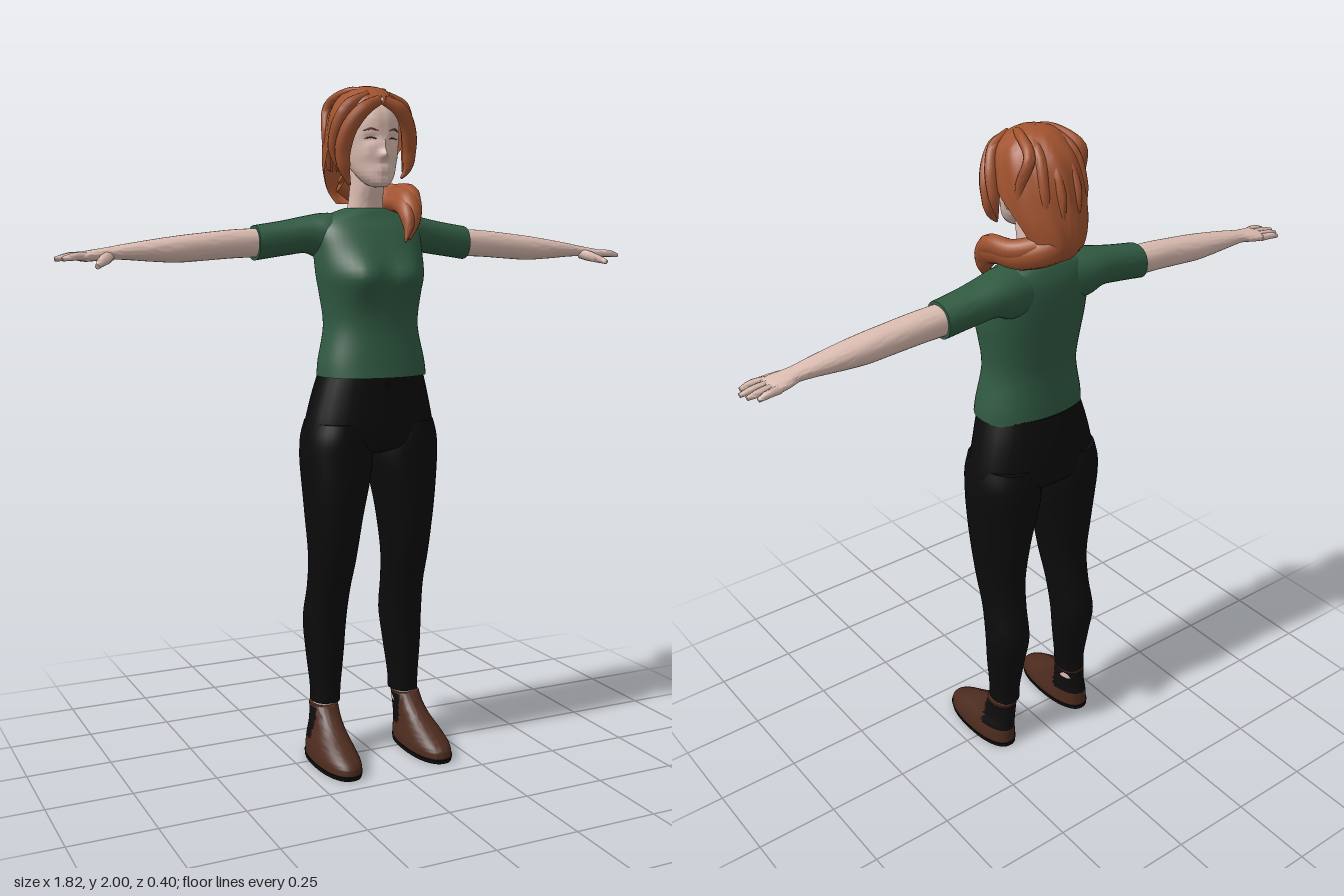
import * as THREE from 'three';
import { toCreasedNormals } from 'three/addons/utils/BufferGeometryUtils.js';

const V = (x, y, z) => new THREE.Vector3(x, y, z);
const paint = (name, color, double) => {
  const m = new THREE.MeshStandardMaterial({ color });
  m.name = name;
  if (double) m.side = THREE.DoubleSide;
  return m;
};

// Smooth extra rows between the given ones (Catmull-Rom on every column)
function smooth(rows, steps) {
  const out = [], at = (i) => rows[Math.min(Math.max(i, 0), rows.length - 1)];
  for (let i = 0; i < rows.length - 1; i++) {
    for (let k = 0; k < steps; k++) {
      const t = k / steps;
      out.push(rows[i].map((b, c) => {
        const a = at(i - 1)[c], d = at(i + 1)[c], e = at(i + 2)[c];
        return b + 0.5 * t * (d - a + t * (2 * a - 5 * b + 4 * d - e + t * (3 * (b - d) + e - a)));
      }));
    }
  }
  out.push(rows[rows.length - 1]);
  return out;
}

// Skin over rings of points; closed skins get end caps and outward faces
function skin(rings, closed = true, crease = 0.9) {
  const n = rings[0].length, pts = rings.flat(), idx = [], last = (rings.length - 1) * n;
  for (let i = 0; i < rings.length - 1; i++) {
    for (let j = 0; j < (closed ? n : n - 1); j++) {
      const a = i * n + j, b = i * n + (j + 1) % n;
      idx.push(a, b, b + n, a, b + n, a + n);
    }
  }
  if (closed) {
    const mid = (r) => r.reduce((s, p) => s.add(p), V(0, 0, 0)).divideScalar(n);
    const c0 = pts.push(mid(rings[0])) - 1, c1 = pts.push(mid(rings[rings.length - 1])) - 1;
    for (let j = 0; j < n; j++) {
      const k = (j + 1) % n;
      idx.push(c0, k, j, c1, last + j, last + k);
    }
    let vol = 0;
    for (let i = 0; i < idx.length; i += 3) {
      vol += pts[idx[i]].dot(pts[idx[i + 1]].clone().cross(pts[idx[i + 2]]));
    }
    if (vol < 0) idx.reverse();
  }
  const g = new THREE.BufferGeometry().setFromPoints(pts);
  g.setIndex(idx);
  return toCreasedNormals(g, crease);
}

// Rows [t, aMin, aMax, bMin, bMax] become rounded cross-sections placed by a rule
function loft(rows, place, steps = 4, n = 32, e = 0.88) {
  const pw = (v) => Math.sign(v) * Math.abs(v) ** e;
  return skin(smooth(rows, steps).map(([t, a0, a1, b0, b1]) => Array.from({ length: n }, (_, j) => {
    const q = (j / n) * Math.PI * 2;
    return place(t, (a0 + a1) / 2 + (a1 - a0) / 2 * pw(Math.sin(q)), (b0 + b1) / 2 + (b1 - b0) / 2 * pw(Math.cos(q)));
  })));
}

// Tapered strand along a path; radii are spread evenly over it
function strand(path, radii, flat = 1, n = 10, steps = 24) {
  const curve = new THREE.CatmullRomCurve3(path), f = curve.computeFrenetFrames(steps);
  return skin(Array.from({ length: steps + 1 }, (_, i) => {
    const u = i / steps * (radii.length - 1), k = Math.min(Math.floor(u), radii.length - 2);
    const r = radii[k] + (radii[k + 1] - radii[k]) * (u - k), c = curve.getPointAt(i / steps);
    return Array.from({ length: n }, (_, j) => {
      const q = j / n * Math.PI * 2;
      return c.clone().addScaledVector(f.normals[i], Math.cos(q) * r * flat).addScaledVector(f.binormals[i], Math.sin(q) * r);
    });
  }));
}

// Keep only the triangles whose centre passes a test
function pick(geo, test) {
  const p = geo.attributes.position, keep = [];
  for (let i = 0; i < p.count; i += 3) {
    const c = V(0, 0, 0);
    for (let k = 0; k < 3; k++) c.add(V(p.getX(i + k), p.getY(i + k), p.getZ(i + k)).divideScalar(3));
    if (test(c)) keep.push(i, i + 1, i + 2);
  }
  const g = geo.clone();
  g.setIndex(keep);
  return g.toNonIndexed();
}

export function createModel() {
  const model = new THREE.Group();
  const skinTone = paint('skin', 0xdbbcb1), hair = paint('hair', 0xa1532f, true), shirt = paint('shirt green', 0x305a42);
  const black = paint('trouser black', 0x0b0b0b), leather = paint('boot leather', 0x4d2b1e);
  const dark = paint('sole and elastic', 0x0e0c0c), lash = paint('lash brown', 0x57392f);
  const add = (name, geo, mat) => {
    const m = new THREE.Mesh(geo, mat);
    m.name = name;
    model.add(m);
    return m;
  };
  const up = (y, x, z) => V(x, y, z);
  const bump = (x, y, cx, cy, wx, wy) => Math.exp(-(((x - cx) / wx) ** 2) - ((y - cy) / wy) ** 2);

  // Shirt body with bust
  add('shirtBody', loft([
    [1.165, -0.165, 0.165, -0.12, 0.125], [1.21, -0.161, 0.161, -0.118, 0.118], [1.31, -0.142, 0.142, -0.112, 0.104],
    [1.40, -0.152, 0.152, -0.122, 0.108], [1.46, -0.162, 0.162, -0.13, 0.113], [1.53, -0.165, 0.165, -0.135, 0.09],
    [1.585, -0.165, 0.165, -0.132, 0.06], [1.62, -0.14, 0.14, -0.12, 0.03], [1.64, -0.09, 0.09, -0.108, 0.018],
    [1.65, -0.06, 0.06, -0.1, 0.01]], (y, x, z) => {
    const front = Math.max(0, z) * 10;
    return V(x, y, z + 0.032 * Math.min(1, front) * bump(Math.abs(x), y, 0.07, 1.452, 0.06, 0.06));
  }, 4, 48), shirt);

  // Trouser top
  add('trouserSeat', loft([
    [1.18, -0.156, 0.156, -0.122, 0.115], [1.1, -0.18, 0.18, -0.135, 0.113], [1.0, -0.203, 0.203, -0.141, 0.109],
    [0.955, -0.195, 0.195, -0.125, 0.09], [0.935, -0.13, 0.13, -0.08, 0.04]], up), black);
  add('waistButton', new THREE.CylinderGeometry(0.007, 0.007, 0.006, 12).rotateX(Math.PI / 2).translate(0, 1.145, 0.117), dark);

  for (const s of [1, -1]) {
    const side = s > 0 ? 'left' : 'right';
    const upS = (y, x, z) => V(s * x, y, z), out = (x, y, z) => V(s * x, y, z);

    // Sleeve, arm and palm run outwards along x
    add(side + 'Sleeve', loft([
      [0.07, 1.50, 1.635, -0.125, 0.02], [0.13, 1.50, 1.636, -0.132, 0.02], [0.18, 1.52, 1.628, -0.13, 0.005],
      [0.25, 1.513, 1.614, -0.122, -0.004], [0.34, 1.5, 1.6, -0.115, -0.01]], out), shirt);
    add(side + 'Arm', loft([
      [0.3, 1.51, 1.592, -0.108, -0.018], [0.4, 1.507, 1.588, -0.106, -0.018], [0.5, 1.5, 1.578, -0.103, -0.016],
      [0.57, 1.496, 1.57, -0.102, -0.015], [0.64, 1.499, 1.56, -0.098, -0.018], [0.71, 1.504, 1.549, -0.092, -0.025],
      [0.76, 1.506, 1.54, -0.089, -0.03], [0.79, 1.503, 1.535, -0.098, -0.025], [0.825, 1.5, 1.529, -0.105, -0.018],
      [0.845, 1.503, 1.523, -0.103, -0.02]], out), skinTone);
    [[0.885, -0.102], [0.903, -0.078], [0.91, -0.053], [0.895, -0.026]].forEach(([tip, z], i) =>
      add(side + 'Finger' + (i + 1), strand([out(0.825, 1.515, z * 0.8 - 0.013), out(0.86, 1.515, z), out(tip, 1.508, z)],
        [0.012, 0.011, 0.01, 0.006], 1, 8, 8), skinTone));
    add(side + 'Thumb', strand([out(0.765, 1.515, -0.045), out(0.785, 1.505, -0.015), out(0.805, 1.495, 0.012), out(0.815, 1.488, 0.03)],
      [0.016, 0.016, 0.012, 0.007], 1, 8, 10), skinTone);

    // Trouser leg
    add(side + 'TrouserLeg', loft([
      [1.03, 0.03, 0.192, -0.132, 0.1], [0.98, 0.01, 0.206, -0.14, 0.106], [0.92, 0.004, 0.21, -0.138, 0.103],
      [0.85, 0.015, 0.206, -0.13, 0.1], [0.75, 0.036, 0.198, -0.117, 0.09], [0.62, 0.054, 0.187, -0.104, 0.068],
      [0.52, 0.063, 0.184, -0.116, 0.036], [0.42, 0.066, 0.19, -0.134, 0.012], [0.32, 0.075, 0.186, -0.116, 0.006],
      [0.22, 0.087, 0.177, -0.1, 0.002], [0.17, 0.09, 0.176, -0.1, 0.002]], upS), black);
    add(side + 'Ankle', loft([[0.13, 0.1, 0.17, -0.09, -0.01], [0.19, 0.1, 0.17, -0.09, -0.01]], upS, 1), skinTone);

    // Boot: upper, elastic panel around the heel side and sole
    const boot = loft([
      [0.013, 0.09, 0.21, -0.1, 0.198], [0.035, 0.09, 0.209, -0.1, 0.194], [0.053, 0.093, 0.205, -0.1, 0.172],
      [0.075, 0.097, 0.198, -0.099, 0.13], [0.1, 0.1, 0.188, -0.098, 0.08], [0.13, 0.1, 0.182, -0.097, 0.035],
      [0.162, 0.098, 0.18, -0.096, 0.004]], upS, 4, 48);
    const isPanel = (c) => c.z < -0.01 && c.y > 0.062 && c.y < 0.157;
    add(side + 'BootUpper', pick(boot, (c) => !isPanel(c)), leather);
    add(side + 'BootElastic', pick(boot, isPanel), dark);
    add(side + 'BootSole', loft([[0, 0.09, 0.21, -0.102, 0.196], [0.014, 0.088, 0.212, -0.103, 0.201]], upS, 1, 48), dark);
  }

  // Neck and head
  add('neck', loft([[1.6, -0.06, 0.06, -0.1, 0.005], [1.66, -0.05, 0.05, -0.09, 0.012], [1.71, -0.047, 0.047, -0.085, 0.025],
    [1.77, -0.047, 0.047, -0.085, 0.03]], up), skinTone);
  const head = loft([
    [1.708, -0.018, 0.018, 0.035, 0.076], [1.718, -0.034, 0.034, 0.0, 0.088], [1.74, -0.052, 0.052, -0.03, 0.088],
    [1.77, -0.066, 0.066, -0.07, 0.084], [1.81, -0.076, 0.076, -0.1, 0.084], [1.86, -0.084, 0.084, -0.13, 0.086],
    [1.91, -0.083, 0.083, -0.13, 0.08], [1.95, -0.066, 0.066, -0.11, 0.05], [1.975, -0.03, 0.03, -0.07, 0.0]], (y, x, z) => {
    if (z < 0.02) return V(x, y, z);
    const ax = Math.abs(x);
    return V(x, y, z + 0.02 * bump(x, y, 0, 1.797, 0.014, 0.013) + 0.01 * bump(x, y, 0, 1.825, 0.011, 0.025)
      + 0.006 * bump(x, y, 0, 1.757, 0.022, 0.01) - 0.009 * bump(ax, y, 0.035, 1.842, 0.018, 0.012)
      + 0.004 * bump(ax, y, 0.05, 1.8, 0.02, 0.02));
  }, 6, 64, 0.95);
  add('head', head, skinTone);

  // Lash lines, brows and ears follow the face surface
  const hp = head.attributes.position;
  const faceZ = (x, y) => {
    let best = 1, z = 0;
    for (let i = 0; i < hp.count; i++) {
      const d = Math.hypot(hp.getX(i) - x, hp.getY(i) - y);
      if (hp.getZ(i) > 0 && d < best) { best = d; z = hp.getZ(i); }
    }
    return z;
  };
  const onFace = (x, y) => V(x, y, faceZ(x, y));
  for (const s of [1, -1]) {
    const side = s > 0 ? 'left' : 'right';
    add(side + 'LashLine', strand([onFace(s * 0.02, 1.841), onFace(s * 0.034, 1.846), onFace(s * 0.05, 1.842)], [0.001, 0.0025, 0.001], 1, 6, 8), lash);
    add(side + 'Brow', strand([onFace(s * 0.016, 1.863), onFace(s * 0.036, 1.869), onFace(s * 0.056, 1.863)], [0.001, 0.003, 0.001], 1, 6, 8), hair);
    add(side + 'Ear', new THREE.SphereGeometry(1, 14, 10).scale(0.012, 0.032, 0.02).rotateX(-0.2).translate(s * 0.084, 1.815, -0.03), skinTone);
  }

  // Hair shell, open around the face: [y, halfWidth, zFront, zBack, opening angle]
  const shell = smooth([
    [1.665, 0.06, -0.04, -0.165, 2.1], [1.7, 0.085, 0.0, -0.193, 1.95], [1.76, 0.106, 0.05, -0.197, 1.8],
    [1.82, 0.114, 0.075, -0.188, 1.45], [1.87, 0.113, 0.086, -0.178, 0.9], [1.92, 0.105, 0.088, -0.16, 0.45],
    [1.955, 0.088, 0.072, -0.135, 0.02], [1.985, 0.055, 0.03, -0.095, 0], [1.996, 0.02, -0.01, -0.055, 0],
    [1.997, 0.001, -0.03, -0.032, 0]], 4);
  add('hairShell', skin(shell.map(([y, w, f, b, open]) => Array.from({ length: 73 }, (_, j) => {
    const o = Math.max(0, open), q = o + (j / 72) * (Math.PI - o) * 2, r = 1 + 0.02 * Math.sin(q * 11 + y * 20);
    return V(w * r * Math.sin(q), y, (f + b) / 2 + (f - b) / 2 * r * Math.cos(q));
  })), false), hair);

  // Locks falling from the parting past the cheeks, and combed ridges over the crown
  for (const s of [1, -1]) {
    const side = s > 0 ? 'left' : 'right', low = s > 0 ? 1.735 : 1.712;
    add(side + 'FaceLock', strand([V(s * 0.008, 1.95, 0.07), V(s * 0.055, 1.925, 0.075), V(s * 0.092, 1.875, 0.055),
      V(s * 0.106, 1.81, 0.035), V(s * 0.1, 1.76, 0.032), V(s * 0.082, low, 0.03)], [0.014, 0.021, 0.024, 0.025, 0.02, 0.004], 0.8), hair);
    add(side + 'TempleLock', strand([V(s * 0.03, 1.968, 0.045), V(s * 0.085, 1.935, 0.035), V(s * 0.112, 1.87, 0.01),
      V(s * 0.115, 1.81, -0.005), V(s * 0.102, 1.755, 0.0)], [0.01, 0.02, 0.022, 0.018, 0.003], 0.8), hair);
    for (const k of [0.25, 0.6, 0.95]) {
      add(side + 'CrownRidge', strand([V(s * 0.01, 1.965, 0.045), V(s * 0.05 * k, 1.982, -0.02), V(s * 0.088 * k, 1.945, -0.115),
        V(s * 0.105 * k, 1.86, -0.06 - 0.115 * Math.sqrt(1 - k * k)), V(s * 0.09 * k, 1.76, -0.07 - 0.115 * Math.sqrt(1 - k * k))],
      [0.006, 0.014, 0.016, 0.014, 0.006], 0.9), hair);
    }
  }

  // Ponytail gathered at the nape and laid over the left shoulder
  [[0, 0, 0, 1], [0.015, 0.018, -0.008, 0.75], [-0.018, -0.008, 0.012, 0.7]].forEach(([dx, dy, dz, k]) =>
    add('ponytail', strand([V(-0.02, 1.735 + dy, -0.155), V(0.04, 1.7 + dy, -0.142), V(0.095 + dx, 1.677 + dy, -0.085),
      V(0.112 + dx, 1.675 + dy, -0.015), V(0.105 + dx, 1.65 + dy, 0.04 + dz), V(0.1 + dx, 1.605 + dy, 0.068 + dz), V(0.085 + dx, 1.56 + dy, 0.078 + dz)],
    [0.04, 0.046, 0.042, 0.04, 0.04, 0.03, 0.005].map((r) => r * k), 0.9, 12, 30), hair));

  return model;
}
